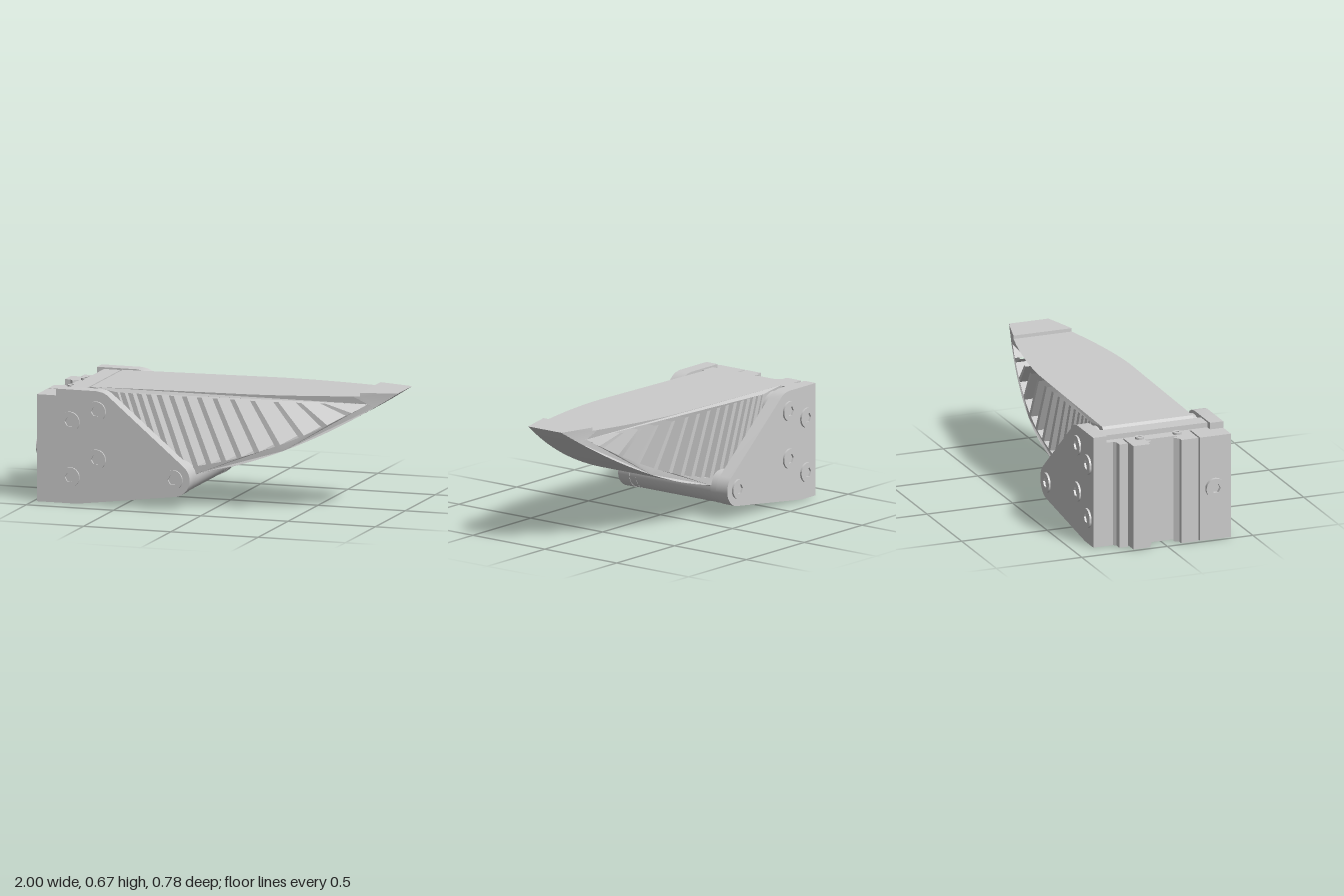
import * as THREE from 'three';
import { toCreasedNormals } from 'three/addons/utils/BufferGeometryUtils.js';

const grey = new THREE.MeshStandardMaterial({ color: 0xcccccc });
const V = (x, y) => new THREE.Vector2(x, y);
const PIVOT = [-0.2, 0.165];

// underside curve and half width of the finger along x
const belly = x => 0.185 + 0.328 * (x + 0.11) + 0.2126 * (x + 0.11) * (x - 0.5);
const halfWidth = x => 0.265 - 0.15 * Math.pow(Math.max(0, (x - 0.17) / 0.83), 1.65);

function add(parent, name, geo) {
  const mesh = new THREE.Mesh(geo, grey);
  mesh.name = name;
  parent.add(mesh);
  return mesh;
}

function extrude(shape, z0, z1) {
  const geo = new THREE.ExtrudeGeometry(shape, { depth: z1 - z0, bevelEnabled: false, curveSegments: 24 });
  geo.translate(0, 0, z0);
  return toCreasedNormals(geo, 0.5);
}

function arc(cx, cy, r, a0, a1, n = 12) {
  return Array.from({ length: n + 1 }, (_, i) => {
    const a = a0 + (a1 - a0) * i / n;
    return V(cx + r * Math.cos(a), cy + r * Math.sin(a));
  });
}

function sample(x0, x1, n, f) {
  return Array.from({ length: n + 1 }, (_, i) => {
    const x = x0 + (x1 - x0) * i / n;
    return V(x, f(x));
  });
}

// flexible finger: outline with slanted slots, narrowed towards the tip
function fingerGeometry() {
  const shape = new THREE.Shape([
    ...arc(-0.64, 0.25, 0.095, Math.PI, Math.PI * 1.44, 8),
    ...arc(...PIVOT, 0.092, -1.75, 0.15, 14),
    ...sample(-0.1, 1, 36, belly),
    ...sample(0.98, 0.8, 5, () => 0.667),
    ...sample(0.799, 0.15, 18, x => 0.637 + 0.014 * x),
    V(-0.71, 0.627), V(-0.735, 0.61),
  ]);
  const ceiling = 0.605, t = 0.014, lean = 0.14, end = 0.845;
  const floor = x => belly(x) + 0.04;
  const ribs = [-0.57, -0.53, -0.485, -0.435, -0.38, -0.32, -0.25, -0.175, -0.09, 0, 0.1, 0.215, 0.345, 0.47, 0.6];
  ribs.forEach((x, i) => {
    const next = ribs[i + 1];
    const pts = next === undefined
      ? [...sample(x + t, end, 4, () => ceiling), ...sample(end - 0.005, x + lean + t, 4, floor)]
      : [...sample(x + t, next - t, 3, () => ceiling), ...sample(next + lean - t, x + lean + t, 3, floor)];
    shape.holes.push(new THREE.Path(pts));
  });
  const geo = new THREE.ExtrudeGeometry(shape, { depth: 2, bevelEnabled: false });
  const p = geo.attributes.position;
  for (let i = 0; i < p.count; i++) p.setZ(i, (p.getZ(i) - 1) * halfWidth(p.getX(i)));
  geo.computeVertexNormals();
  return toCreasedNormals(geo, 0.4);
}

// screw head with a hexagonal socket, facing +z
function screw(name, r, depth) {
  const g = new THREE.Group();
  g.name = name;
  const head = new THREE.Shape().absarc(0, 0, r, 0, Math.PI * 2);
  head.holes.push(new THREE.Path(arc(0, 0, r * 0.5, 0, -Math.PI * 5 / 3, 5)));
  add(g, 'screwHead', extrude(head, -0.03, depth));
  const floor = add(g, 'socketFloor', new THREE.CircleGeometry(r * 0.6, 12));
  floor.position.z = -0.012;
  return g;
}

export function createModel() {
  const model = new THREE.Group();
  model.name = 'gripperFinger';

  add(model, 'flexibleFinger', fingerGeometry());

  // side plates with spacers and screws
  const plate = new THREE.Shape([
    V(-0.87, 0), V(-0.75, 0),
    ...arc(...PIVOT, 0.095, -1.44, 0.86, 16),
    V(-0.56, 0.592), V(-0.58, 0.609), V(-0.605, 0.621), V(-0.64, 0.627), V(-0.87, 0.627),
  ]);
  const mounts = [[-0.64, 0.515], [-0.64, 0.25], PIVOT];
  const screws = [...mounts, [-0.79, 0.45], [-0.79, 0.145]];
  for (const s of [1, -1]) {
    const side = new THREE.Group();
    side.name = s > 0 ? 'frontSide' : 'backSide';
    model.add(side);
    add(side, 'sidePlate', s > 0 ? extrude(plate, 0.303, 0.38) : extrude(plate, -0.38, -0.303));
    for (const [x, y] of mounts) {
      const spacer = add(side, 'spacer', new THREE.CylinderGeometry(0.093, 0.093, 0.045, 32));
      spacer.rotation.x = Math.PI / 2;
      spacer.position.set(x, y, s * 0.283);
    }
    for (const [x, y] of screws) {
      const sc = screw('plateScrew', 0.055, 0.011);
      sc.position.set(x, y, s * 0.38);
      if (s < 0) sc.rotation.y = Math.PI;
      side.add(sc);
    }
  }

  // rear mount: a vertical rail profile with two jaws, given as x, z
  const jaw = [[-0.84, 0.2], [-0.84, 0.19], [-0.98, 0.19], [-0.98, 0.09], [-0.95, 0.09],
    [-0.93, 0.065], [-0.91, 0.09], [-0.9, 0.09]];
  const plan = [
    [-0.735, -0.303], [-0.735, 0.303], [-0.87, 0.303], [-0.87, 0.38], [-0.98, 0.38], [-0.98, 0.2],
    ...jaw,
    ...jaw.map(([x, z]) => [x, -z]).reverse(),
    [-0.925, -0.2], [-0.925, -0.25], [-0.885, -0.25], [-0.87, -0.265], [-0.87, -0.303],
  ];
  const mount = extrude(new THREE.Shape(plan.map(([x, z]) => V(x, -z))), 0, 0.59);
  mount.rotateX(-Math.PI / 2);
  add(model, 'rearMount', mount);
  const cap = add(model, 'mountCap', new THREE.BoxGeometry(0.095, 0.035, 0.606));
  cap.position.set(-0.7825, 0.6, 0);

  // small jaw screws on top and the large screw at the rear
  for (const z of [-0.11, 0.11]) {
    const sc = screw('jawScrew', 0.025, 0.012);
    sc.rotation.x = -Math.PI / 2;
    sc.position.set(-0.87, 0.59, z);
    model.add(sc);
  }
  const rear = screw('rearScrew', 0.055, 0.02);
  rear.rotation.y = -Math.PI / 2;
  rear.position.set(-0.98, 0.295, 0.285);
  model.add(rear);

  // sloping floor between the plates, open at both ends
  const base = new THREE.Shape([V(-0.705, 0.006), V(-0.37, 0.05), V(-0.37, 0.085), V(-0.705, 0.04)]);
  add(model, 'basePlate', extrude(base, -0.305, 0.305));

  return model;
}
